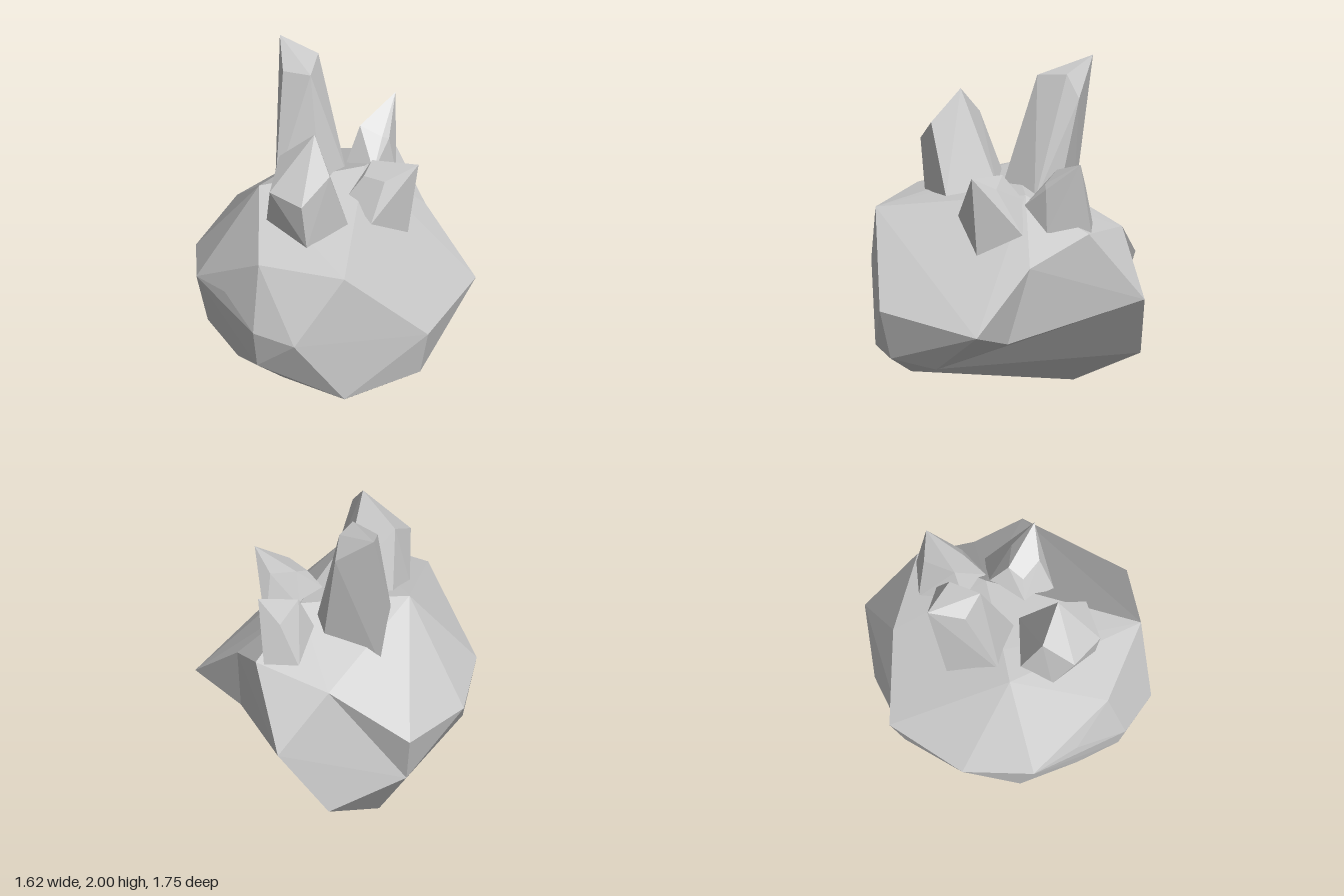
import * as THREE from 'three';
import { ConvexGeometry } from 'three/addons/geometries/ConvexGeometry.js';

const material = new THREE.MeshStandardMaterial({ color: 0xcccccc, flatShading: true });

// Faceted solid spanned by a handful of corner points
function facetedSolid(name, corners) {
  const geometry = new ConvexGeometry(corners.map((c) => new THREE.Vector3(...c)));
  const mesh = new THREE.Mesh(geometry, material);
  mesh.name = name;
  return mesh;
}

// Boulder corners that several of its lobes share
const crown = [0.14, 1.28, -0.2];
const crownLeft = [-0.22, 1.28, 0.05];
const crownEdge = [-0.39, 1.275, 0.16];
const backTop = [-0.26, 1.04, -0.62];
const backTip = [-0.06, 0.69, -0.877];
const sideTip = [-0.81, 0.69, 0.03];
const sideLow = [-0.65, 0.41, -0.39];
const foot = [0.24, 0.12, 0.5];

const core = [
  crown, crownLeft, crownEdge, backTop, backTip, sideTip, foot,
  [0.29, 1.11, 0.71], [-0.23, 1.11, 0.71], [0.2, 1.13, -0.65],
  // front
  [0.035, 0.69, 0.875], [-0.23, 0.7, 0.82], [-0.22, 0.445, 0.77],
  [-0.09, 0.335, 0.69], [0.29, 0.265, 0.71], [-0.39, 0.355, 0.585],
  // -x side
  [-0.465, 0.81, 0.61], [-0.69, 0.755, 0.43], [-0.65, 0.39, 0.33],
];

// +x side, from the front top corner round to the lower back
const rim = [
  [0.29, 1.11, 0.71], crown, [0.45, 0.95, -0.395], [0.49, 0.48, -0.27],
  [0.72, 0.635, 0.45], [0.66, 0.335, 0.41], [0.62, 0.3, 0.13],
];

// The lobes overlap, leaving creases where they meet
const lobes = {
  boulderRight: [...core, ...rim],
  boulderSpur: [...rim, [0.805, 0.6, -0.235]],
  boulderBase: [...core, sideLow, [-0.31, 0.265, -0.715], [-0.39, 0, -0.23]],
  boulderBackCorner: [crown, crownLeft, crownEdge, backTop, sideTip, sideLow, [-0.71, 0.73, -0.465]],
};

// Each crystal: five base corners, then five top corners with the tip last
const crystals = {
  tallCrystal: [
    [-0.32, 1.2, 0.07], [-0.04, 1.2, 0.065], [0.035, 1.2, -0.2], [-0.05, 1.1, -0.285], [-0.4, 1.02, -0.22],
    [-0.335, 1.895, -0.14], [-0.16, 1.915, -0.115], [-0.17, 1.945, -0.305], [-0.18, 1.805, -0.38], [-0.415, 2, -0.345],
  ],
  frontCrystal: [
    [0.01, 1.16, 0.535], [0.19, 1.21, 0.3], [0.005, 1.25, 0.06], [-0.28, 1.2, 0.16], [-0.28, 1.19, 0.38],
    [-0.01, 1.465, 0.575], [0.12, 1.62, 0.435], [-0.225, 1.61, 0.3], [-0.225, 1.485, 0.5], [-0.01, 1.81, 0.31],
  ],
  sideCrystal: [
    [0.45, 0.975, -0.045], [0.29, 1.14, 0.165], [0.12, 1.24, 0.05], [0.15, 1.25, -0.19], [0.325, 1.1, -0.28],
    [0.34, 1.375, 0.055], [0.2, 1.36, 0.01], [0.22, 1.41, -0.09], [0.37, 1.37, -0.13], [0.515, 1.465, -0.045],
  ],
  backCrystal: [
    [0.27, 1.12, -0.41], [0.19, 1.235, -0.22], [0, 1.2, -0.28], [-0.035, 1.1, -0.55], [0.15, 1.11, -0.64],
    [0.235, 1.37, -0.385], [0.2, 1.39, -0.36], [0.065, 1.44, -0.365], [0.085, 1.38, -0.565], [0.21, 1.55, -0.6],
  ],
};

export function createModel() {
  const group = new THREE.Group();
  group.name = 'crystalRock';
  for (const [name, corners] of Object.entries({ ...lobes, ...crystals })) {
    group.add(facetedSolid(name, corners));
  }
  return group;
}
